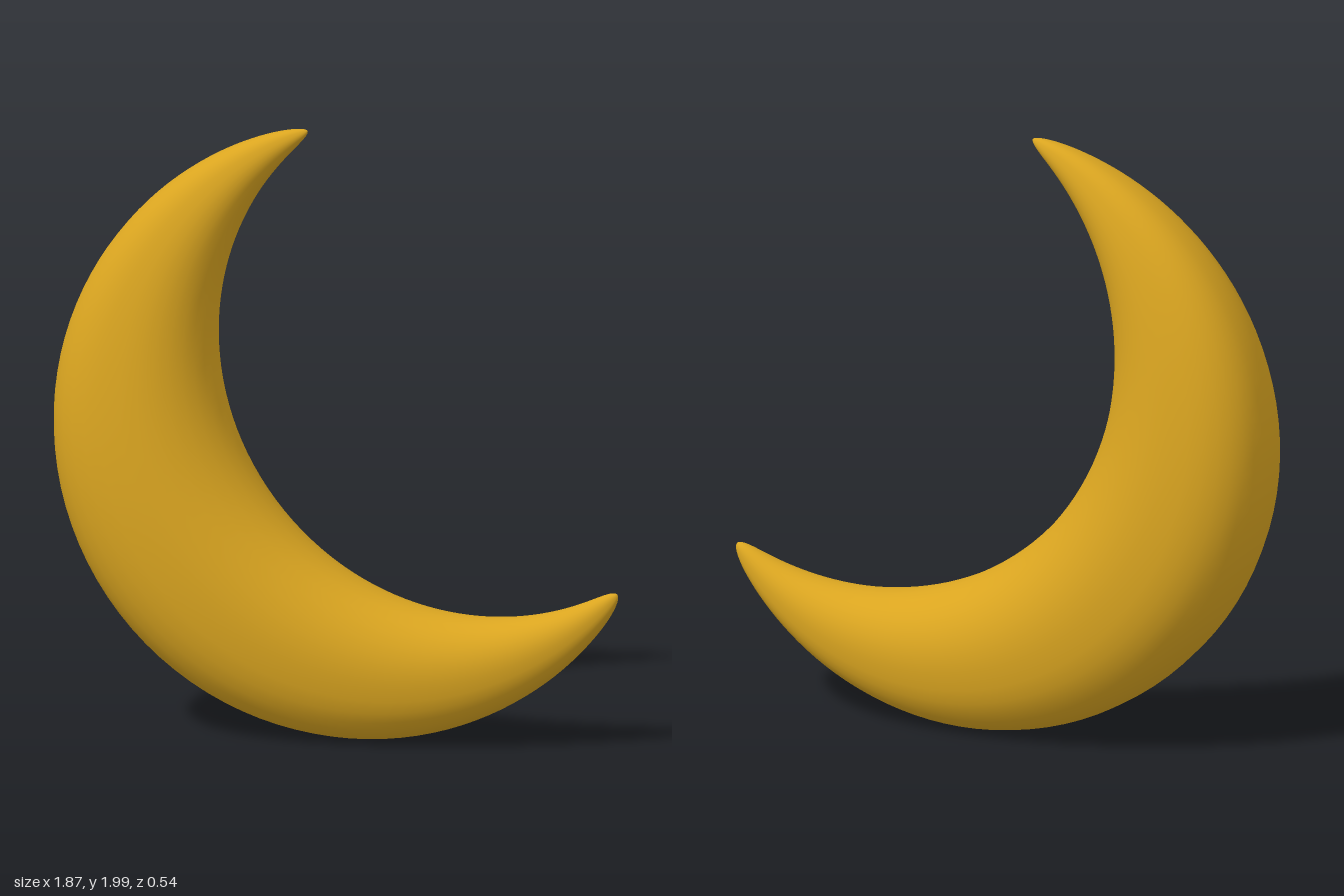
import * as THREE from 'three';

const RINGS = 96, SIDES = 32;
const AXIS = THREE.MathUtils.degToRad(215); // direction of the thickest section
const OUTER = { x: 0.075, y: 1.01, r: 1.01, sweep: THREE.MathUtils.degToRad(114) };
const INNER = { x: 0.48, y: 1.3, r: 0.885, sweep: THREE.MathUtils.degToRad(85) };

// Point on one of the two arcs, t runs from -1 (upper tip) to 1 (lower tip)
function arcPoint(arc, t) {
  const a = AXIS + t * arc.sweep;
  return new THREE.Vector2(arc.x + arc.r * Math.cos(a), arc.y + arc.r * Math.sin(a));
}

const power = (v, e) => Math.sign(v) * Math.abs(v) ** e;

// Rounded sections lofted between the outer and inner arcs, closing at blunt tips
function crescentGeometry() {
  const positions = [], indices = [];
  for (let i = 0; i <= RINGS; i++) {
    const t = Math.sin((i / RINGS - 0.5) * Math.PI);
    const outer = arcPoint(OUTER, t), inner = arcPoint(INNER, t);
    const mid = outer.clone().add(inner).multiplyScalar(0.5);
    const cap = Math.sqrt(Math.max(0, 1 - Math.abs(t) ** 60));
    const half = outer.sub(inner).multiplyScalar(0.5 * cap);
    const depth = half.length() * 0.865;
    for (let j = 0; j < SIDES; j++) {
      const phi = (j / SIDES) * Math.PI * 2;
      // the outer side is blunter than the inner side
      const e = Math.cos(phi) > 0 ? 2 / 2.45 : 2 / 2.1;
      const u = power(Math.cos(phi), e), w = power(Math.sin(phi), e);
      positions.push(mid.x + half.x * u, mid.y + half.y * u, depth * w);
      if (i < RINGS) {
        const k = (j + 1) % SIDES;
        const a = i * SIDES + j, c = i * SIDES + k;
        const b = a + SIDES, d = c + SIDES;
        if (i < RINGS - 1) indices.push(b, d, c);
        if (i > 0) indices.push(a, b, c);
        else indices.push(a, b, d);
        if (i === 0) indices.splice(-6, 3);
      }
    }
  }
  const geometry = new THREE.BufferGeometry();
  geometry.setAttribute('position', new THREE.Float32BufferAttribute(positions, 3));
  geometry.setIndex(indices);
  geometry.computeVertexNormals();
  return geometry;
}

export function createModel() {
  const group = new THREE.Group();
  group.name = 'crescentMoon';
  const material = new THREE.MeshStandardMaterial({ color: 0xdaa520 });
  const moon = new THREE.Mesh(crescentGeometry(), material);
  moon.name = 'crescent';
  group.add(moon);
  return group;
}
